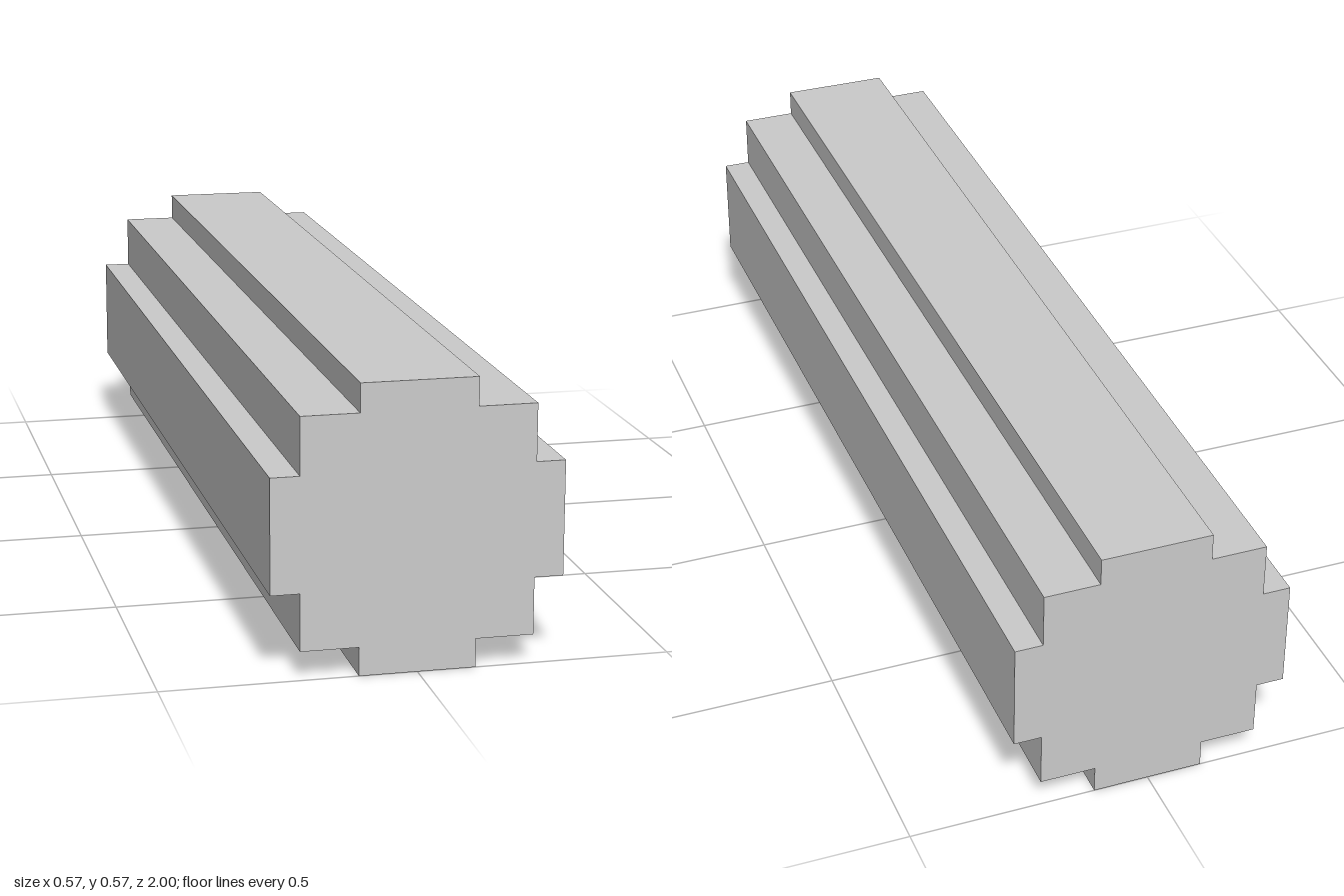
import * as THREE from 'three';

const LENGTH = 2;
const UNIT = LENGTH / 35; // step size of the blocky cross-section
const RADIUS = 5 * UNIT;

// Stepped round outline: one corner staircase, turned through four quarters
function steppedOutline() {
  const corner = [[5, 2], [4, 2], [4, 4], [2, 4], [2, 5]];
  const points = [];
  for (let q = 0; q < 4; q++) {
    for (const [x, y] of corner) {
      const [px, py] = [[x, y], [-y, x], [-x, -y], [y, -x]][q];
      points.push(new THREE.Vector2(px * UNIT, py * UNIT));
    }
  }
  return new THREE.Shape(points);
}

export function createModel() {
  const group = new THREE.Group();
  group.name = 'steppedLog';

  // Log body, running front to back and resting on the ground
  const geometry = new THREE.ExtrudeGeometry(steppedOutline(), { depth: LENGTH, bevelEnabled: false });
  geometry.translate(0, RADIUS, -LENGTH / 2);
  const material = new THREE.MeshStandardMaterial({ color: 0xcccccc, flatShading: true });
  const log = new THREE.Mesh(geometry, material);
  log.name = 'logBody';
  group.add(log);

  return group;
}
